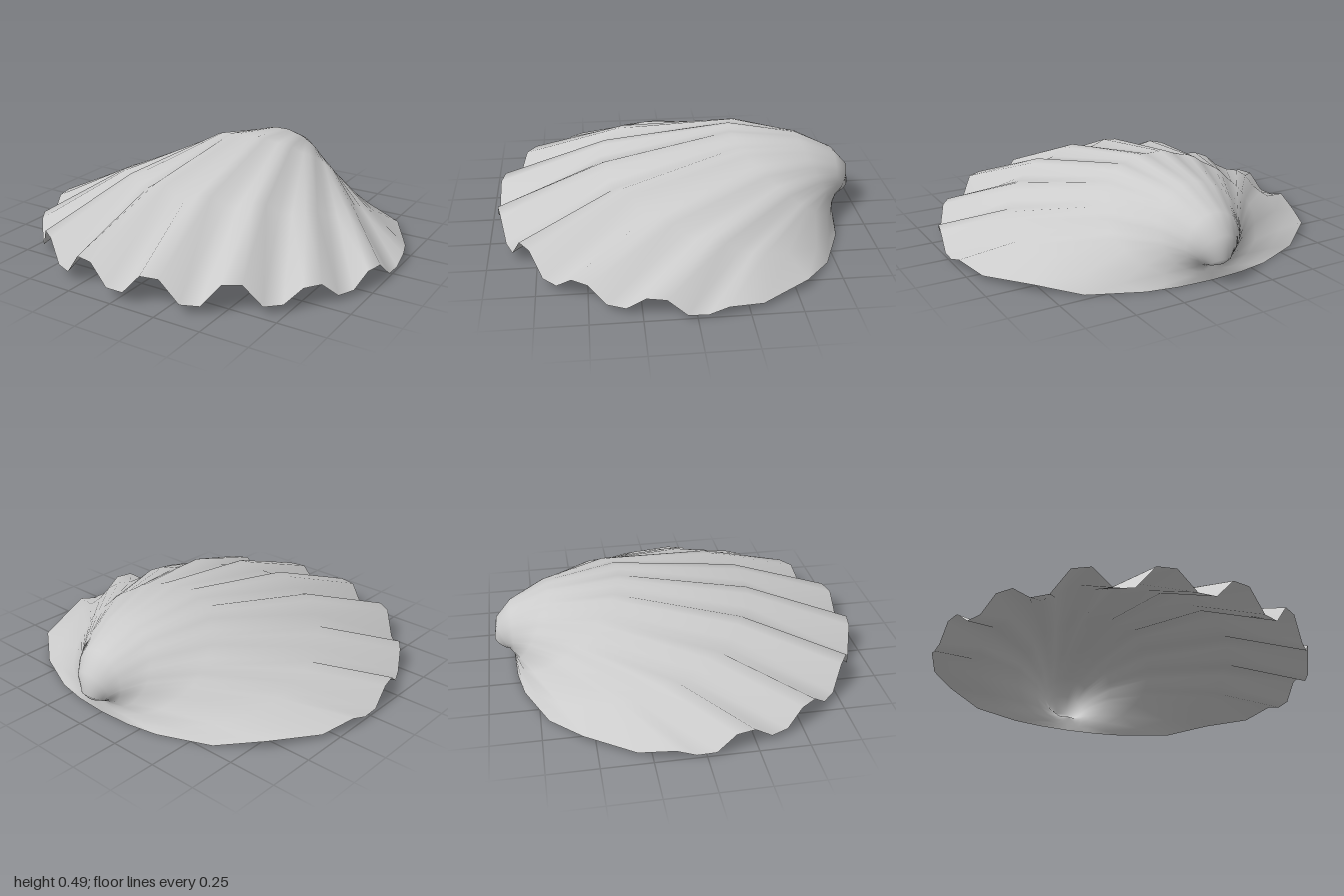
import * as THREE from 'three';

// Rim outline [x, y, z]: trapezoidal ribs round the front, plain edge at the back
function rimLoop() {
  const ridge = [0.16, 0.155, 0.11, 0.1, 0.05];
  const valley = [0.055, 0.045, 0.04, 0.03, 0.018];
  const half = [];
  for (let i = 0; i < 18; i++) {
    const a = THREE.MathUtils.degToRad((i + 0.5) * 5.5);
    const k = Math.floor((i + 1) / 4);
    const isRidge = i % 4 === 1 || i % 4 === 2;
    half.push([Math.sin(a), isRidge ? ridge[k] : valley[k], -0.04 + Math.cos(a)]);
  }
  half.push([0.94, 0.02, -0.32], [0.8, 0.04, -0.56], [0.6, 0, -0.71], [0.34, 0, -0.82], [0.18, 0, -0.85]);
  const mirrored = half.map(([x, y, z]) => [-x, y, z]).reverse();
  return [...half, [0, 0, -0.86], ...mirrored];
}

export function createModel() {
  const group = new THREE.Group();
  const rim = rimLoop();
  const n = rim.length;
  const hingeZ = -0.86;

  // Growth rings curling to the beak: [crest z, crest y, hinge y, rib strength]
  const rings = [
    [0.955, 0.16, 0, 1],
    [0.39, 0.375, 0.012, 0.5],
    [-0.29, 0.485, 0.03, 0.22],
    [-0.66, 0.43, 0.05, 0.1],
    [-0.86, 0.34, 0.065, 0],
    [-0.94, 0.25, 0.075, 0],
    [-0.955, 0.14, 0.082, 0],
    [-0.93, 0.108, 0.087, 0],
    [-0.875, 0.09, 0.09, 0],
  ];

  // Each ring is the rim, shrunk and turned about the hinge so its crest fits
  const positions = [];
  const [, crestH, crestZ] = rim[1];
  for (const [z, y, hingeY, rib] of rings) {
    const reach = crestZ - hingeZ;
    const height = crestH * rib;
    const scale = Math.hypot(z - hingeZ, y - hingeY) / Math.hypot(reach, height);
    const angle = Math.atan2(y - hingeY, z - hingeZ) - Math.atan2(height, reach);
    const c = Math.cos(angle) * scale, s = Math.sin(angle) * scale;
    for (const [px, py, pz] of rim) {
      const u = pz - hingeZ, h = py * rib;
      positions.push(px * scale, hingeY + u * s + h * c, hingeZ + u * c - h * s);
    }
  }

  const index = [];
  for (let j = 0; j < rings.length - 1; j++) {
    for (let i = 0; i < n; i++) {
      const k = (i + 1) % n;
      const a = j * n + i, b = j * n + k, c = a + n, d = b + n;
      index.push(a, b, c, b, d, c);
    }
  }

  const geometry = new THREE.BufferGeometry();
  geometry.setAttribute('position', new THREE.Float32BufferAttribute(positions, 3));
  geometry.setIndex(index);
  geometry.computeVertexNormals();

  const shell = new THREE.Mesh(
    geometry,
    new THREE.MeshStandardMaterial({ color: 0xcccccc, side: THREE.DoubleSide })
  );
  shell.name = 'ribbedShell';
  group.add(shell);
  group.name = 'seashell';
  return group;
}
